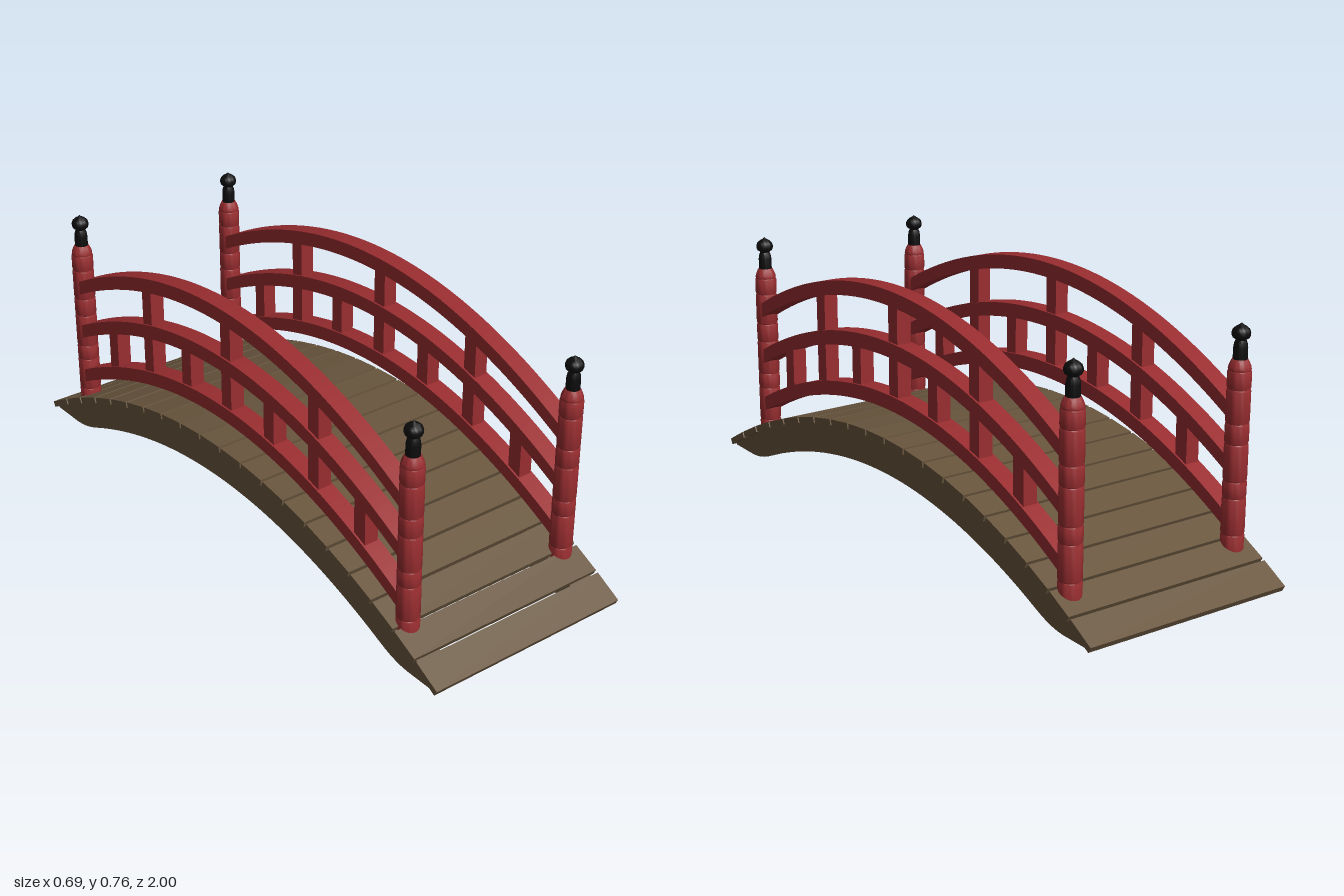
import * as THREE from 'three';
import { toCreasedNormals } from 'three/addons/utils/BufferGeometryUtils.js';

const red = new THREE.MeshStandardMaterial({ color: 0x992d30 });
red.name = 'red lacquer';
const wood = new THREE.MeshStandardMaterial({ color: 0x68553d });
wood.name = 'brown wood';
const black = new THREE.MeshStandardMaterial({ color: 0x0b0b0b });
black.name = 'black cap';

const DECK_BEND = 0.29, RAIL_BEND = 0.335;
const deckY = z => 0.31 - DECK_BEND * z * z;

function add(parent, name, geometry, material, x = 0, y = 0, z = 0) {
  const mesh = new THREE.Mesh(geometry, material);
  mesh.name = name;
  mesh.position.set(x, y, z);
  parent.add(mesh);
  return mesh;
}

// Beam along z, of the given width in x, between two height functions
function archBeam(z0, z1, topY, bottomY, width, steps = 56) {
  const top = [], bottom = [];
  for (let i = 0; i <= steps; i++) {
    const z = z0 + (z1 - z0) * i / steps;
    bottom.push(new THREE.Vector2(z, bottomY(z)));
    top.unshift(new THREE.Vector2(z, topY(z)));
  }
  const geo = new THREE.ExtrudeGeometry(new THREE.Shape([...bottom, ...top]), { depth: width, bevelEnabled: false });
  geo.translate(0, 0, -width / 2).rotateY(-Math.PI / 2);
  return toCreasedNormals(geo, 0.4);
}

function lathe(points, segments = 28) {
  const geo = new THREE.LatheGeometry(points.map(([r, y]) => new THREE.Vector2(r, y)), segments);
  return toCreasedNormals(geo, 0.7);
}

// Underside of the side beams, easing into a flat foot
function beamBottom(z) {
  const b = 0.19 - DECK_BEND * z * z, e = 0.03;
  if (b > e) return b;
  return b < -e ? 0 : (b + e) ** 2 / (4 * e);
}

function buildDeck(group) {
  // Equal steps along the arch
  const edges = [0, 0.106, 0.211, 0.316, 0.42, 0.522, 0.622, 0.72, 0.816, 0.909, 1];
  for (const side of [-1, 1]) {
    for (let i = 0; i < 10; i++) {
      const za = edges[i], zb = edges[i + 1];
      const a = new THREE.Vector2(za, deckY(za)), b = new THREE.Vector2(zb, deckY(zb));
      const dir = b.clone().sub(a).normalize();
      a.addScaledVector(dir, 0.0045);
      if (i < 9) b.addScaledVector(dir, -0.0045);
      const geo = new THREE.BoxGeometry(0.692, 0.02, a.distanceTo(b));
      geo.translate(0, -0.01, 0);
      const plank = add(group, 'plank', geo, wood, 0, (a.y + b.y) / 2, side * (a.x + b.x) / 2);
      plank.rotation.x = side * Math.atan2(-dir.y, dir.x);
    }
  }
  const beam = archBeam(-0.985, 0.985, z => 0.292 - DECK_BEND * z * z, beamBottom, 0.085, 80);
  for (const x of [-0.291, 0.289]) add(group, 'sideBeam', beam, wood, x);
}

function buildRailing(x) {
  const side = new THREE.Group();
  side.name = 'railing';
  side.position.x = x;

  // Three arched rails
  const tops = [0.757, 0.599, 0.435], thick = 0.046;
  const railY = (top, z) => top - RAIL_BEND * (z + 0.006) ** 2;
  ['topRail', 'middleRail', 'lowerRail'].forEach((name, i) => {
    const geo = archBeam(-0.835, 0.811, z => railY(tops[i], z), z => railY(tops[i], z) - thick, 0.058);
    add(side, name, geo, red);
  });

  // Uprights between the rails
  for (let k = -3; k <= 3; k++) {
    const z = -0.003 + k * 0.209;
    const upper = railY(k % 2 ? tops[1] : tops[0], z) - 0.023;
    const lower = railY(tops[2], z) - 0.023;
    add(side, 'upright', new THREE.BoxGeometry(0.046, upper - lower, 0.048), red, 0, (upper + lower) / 2, z);
  }

  // End posts with ringed bands
  const rings = [0.14, 0.25, 0.3, 0.41, 0.47, 0.57, 0.623];
  const profile = [[0, 0.085], [0.033, 0.085]];
  for (const y of rings) profile.push([0.0345, y - 0.009], [0.034, y - 0.004], [0.0315, y], [0.034, y + 0.004], [0.0345, y + 0.009]);
  profile.splice(-2, 2, [0.033, 0.627], [0.031, 0.636], [0.026, 0.648], [0.022, 0.655], [0, 0.655]);
  const post = lathe(profile);
  const cap = lathe([[0, 0.653], [0.021, 0.653], [0.0205, 0.688], [0.0185, 0.7], [0.015, 0.709], [0.016, 0.711],
    [0.0235, 0.716], [0.0265, 0.723], [0.0268, 0.731], [0.0235, 0.74], [0.0155, 0.747], [0.007, 0.752], [0, 0.758]]);
  for (const z of [-0.835, 0.811]) {
    add(side, 'post', post, red, 0, 0, z);
    add(side, 'postCap', cap, black, 0, 0, z);
  }
  return side;
}

export function createModel() {
  const model = new THREE.Group();
  model.name = 'archedFootbridge';
  const deck = new THREE.Group();
  deck.name = 'deck';
  buildDeck(deck);
  model.add(deck, buildRailing(-0.291), buildRailing(0.289));
  return model;
}
